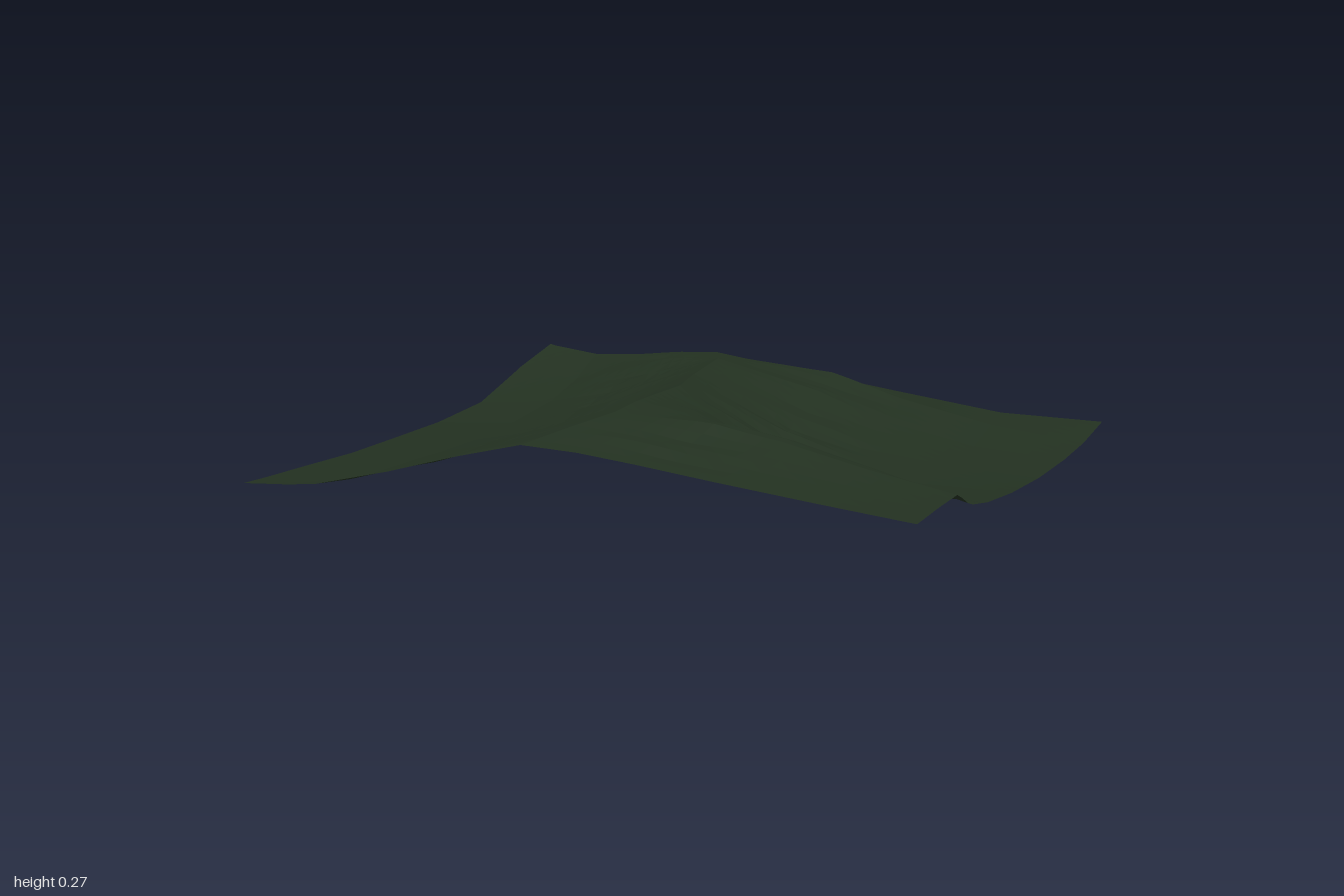
import * as THREE from 'three';

// Cross-sections from back to front: z, crest x, then heights at the stations U
const U = [-1, -0.7, -0.45, -0.22, 0, 0.15, 0.3, 0.5, 0.75, 1];
const SECTIONS = [
  [-1.00, -0.35, [0.207, 0.180, 0.187, 0.203, 0.210, 0.178, 0.148, 0.108, 0.060, 0.050]],
  [-0.75, -0.20, [0.135, 0.130, 0.175, 0.215, 0.228, 0.215, 0.190, 0.125, 0.060, 0.020]],
  [-0.50, -0.14, [0.068, 0.085, 0.130, 0.200, 0.262, 0.215, 0.165, 0.090, 0.030, 0.007]],
  [-0.20, -0.10, [0.045, 0.060, 0.105, 0.175, 0.252, 0.190, 0.115, 0.055, 0.020, 0.003]],
  [0.10, -0.02, [0.038, 0.055, 0.100, 0.175, 0.262, 0.185, 0.105, 0.045, 0.018, 0.012]],
  [0.35, 0.00, [0.033, 0.055, 0.105, 0.180, 0.269, 0.225, 0.150, 0.075, 0.035, 0.030]],
  [0.53, 0.02, [0.036, 0.060, 0.120, 0.200, 0.275, 0.258, 0.235, 0.195, 0.130, 0.055]],
  [0.64, 0.02, [0.038, 0.060, 0.120, 0.200, 0.266, 0.255, 0.243, 0.215, 0.155, 0.104]],
  [0.82, -0.04, [0.040, 0.055, 0.120, 0.195, 0.245, 0.230, 0.205, 0.175, 0.135, 0.100]],
  [1.00, -0.10, [0.045, 0.070, 0.120, 0.175, 0.220, 0.210, 0.190, 0.160, 0.125, 0.092]],
];
const { lerp, clamp } = THREE.MathUtils;

// Index and fraction of v within an ascending list
function locate(list, v) {
  let i = 0;
  while (i < list.length - 2 && v > list[i + 1]) i++;
  return [i, clamp((v - list[i]) / (list[i + 1] - list[i]), 0, 1)];
}

// Height and crest position from the cross-sections
function sample(u, z) {
  const [r, t] = locate(SECTIONS.map((s) => s[0]), z);
  const [c, f] = locate(U, u);
  const row = (s) => lerp(s[2][c], s[2][c + 1], f);
  const a = SECTIONS[r], b = SECTIONS[r + 1];
  return { y: lerp(row(a), row(b), t), crest: lerp(a[1], b[1], t) };
}

// Gullies: triangular furrows running down both flanks, fading at crest and rim
function gully(u, z) {
  const side = u < 0 ? 0.37 : 0;
  const phase = (z + 0.18 * Math.abs(u)) * 4.6 + side + 0.2 * Math.sin(z * 7 + side * 9);
  const wave = Math.abs(((phase % 1) + 1) % 1 - 0.5) * 4 - 1;
  const fade = Math.max(0, 1 - Math.abs(Math.abs(u) - 0.3) / 0.28);
  const rim = clamp((1 - Math.abs(z)) / 0.12, 0, 1);
  return 0.011 * wave * fade * rim;
}

function hillside() {
  const N = 40, pos = [], index = [];
  for (let j = 0; j <= N; j++) {
    for (let i = 0; i <= N; i++) {
      const u = -1 + (2 * i) / N;
      let z = -1 + (2 * j) / N;
      const { y, crest } = sample(u, z);
      let x = u + crest * (1 - Math.abs(u));
      // slightly clipped left corners
      z = Math.min(z, 0.955 + 0.25 * (x + 1));
      x = Math.max(x, -0.98 - 0.1 * (z + 1));
      pos.push(x, Math.max(0, y + gully(u, z)), z);
    }
  }
  const w = N + 1;
  for (let j = 0; j < N; j++) {
    for (let i = 0; i < N; i++) {
      const a = j * w + i, b = a + 1, c = a + w, d = c + 1;
      // diagonals mirrored across the crest
      if (i < N / 2) index.push(a, c, b, b, c, d);
      else index.push(a, c, d, a, d, b);
    }
  }
  const geo = new THREE.BufferGeometry();
  geo.setAttribute('position', new THREE.Float32BufferAttribute(pos, 3));
  geo.setIndex(index);
  geo.computeVertexNormals();
  return geo;
}

export function createModel() {
  const group = new THREE.Group();
  group.name = 'terrain';
  const ground = new THREE.Mesh(
    hillside(),
    new THREE.MeshStandardMaterial({ color: 0x223020, flatShading: true, side: THREE.DoubleSide })
  );
  ground.name = 'ridgeSurface';
  group.add(ground);
  return group;
}
